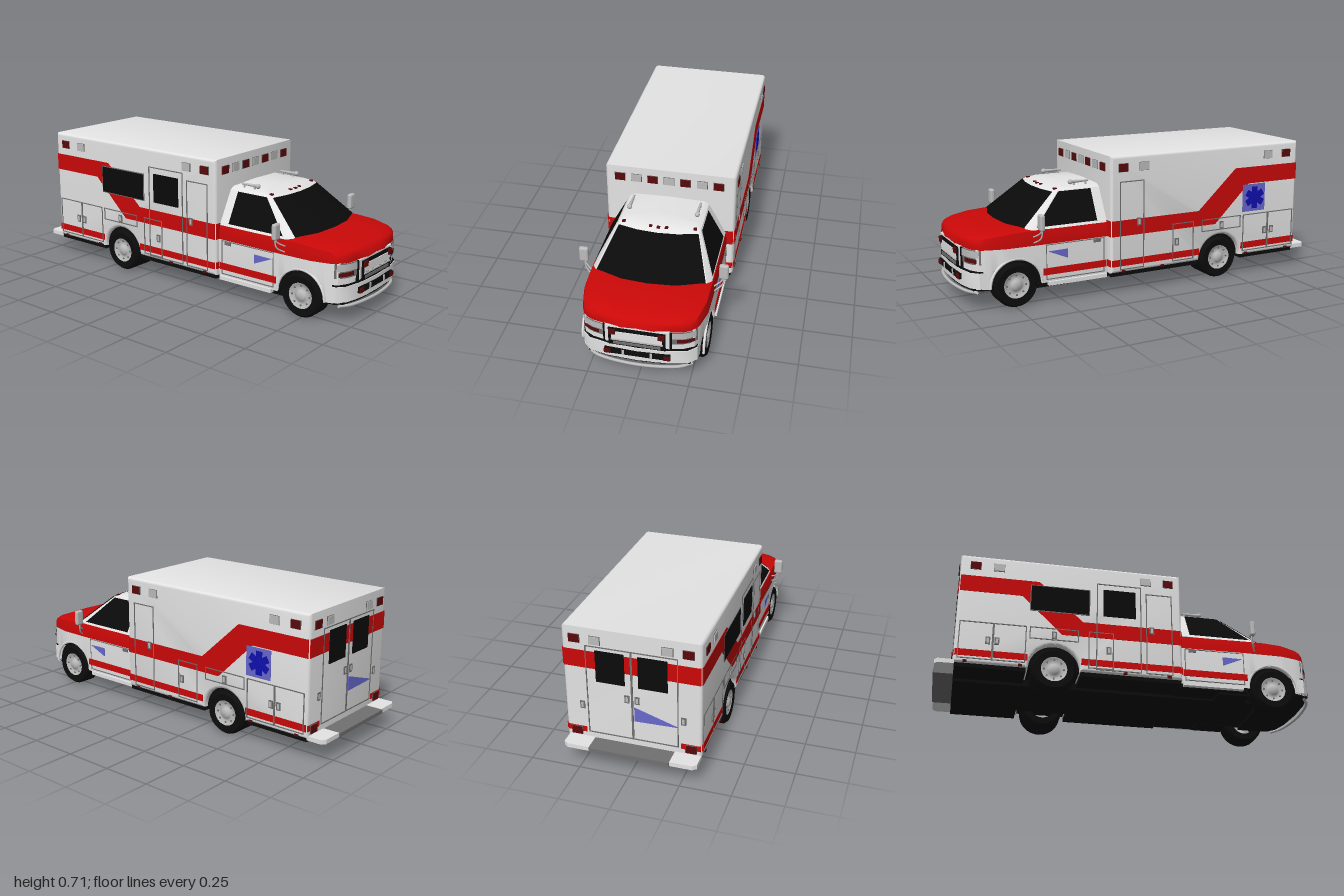
import * as THREE from 'three';
import { toCreasedNormals } from 'three/addons/utils/BufferGeometryUtils.js';
import { RoundedBoxGeometry } from 'three/addons/geometries/RoundedBoxGeometry.js';

const mat = (name, color) => new THREE.MeshStandardMaterial({ name, color, side: THREE.DoubleSide });
const M = {
  white: mat('white paint', 0xe4e4e4), red: mat('red paint', 0xca0808), lamp: mat('dark red lamp', 0x5a090b),
  glass: mat('black glass', 0x0a0a0a), black: mat('black rubber', 0x0c0c0c), silver: mat('silver metal', 0xbcbcbc),
  line: mat('grey seam', 0x707070), blue: mat('blue', 0x1010b0), pale: mat('pale blue', 0x6868cc),
};

// Piecewise linear lookup
function lookup(table, v) {
  if (v <= table[0][0]) return table[0][1];
  for (let i = 1; i < table.length; i++) {
    const [a, p] = table[i - 1], [b, q] = table[i];
    if (v <= b) return p + (q - p) * (v - a) / (b - a);
  }
  return table[table.length - 1][1];
}
const rect = (a0, a1, b0, b1) => [[a0, b0], [a1, b0], [a1, b1], [a0, b1]];
const toShape = (pts) => new THREE.Shape(pts.map(([a, b]) => new THREE.Vector2(a, b)));

export function createModel() {
  const root = new THREE.Group();
  root.name = 'ambulance';
  const add = (name, geo, m, x = 0, y = 0, z = 0, parent = root) => {
    const mesh = new THREE.Mesh(geo, m);
    mesh.name = name;
    mesh.position.set(x, y, z);
    parent.add(mesh);
    return mesh;
  };
  const box = (name, m, w, h, d, x, y, z, parent) => add(name, new THREE.BoxGeometry(w, h, d), m, x, y, z, parent);
  // Surface through rows of points
  function loft(name, m, rows, crease = 0.6) {
    const n = rows[0].length, idx = [];
    for (let i = 0; i + 1 < rows.length; i++) for (let j = 0; j + 1 < n; j++) {
      const a = i * n + j;
      idx.push(a, a + 1, a + n, a + 1, a + n + 1, a + n);
    }
    const g = new THREE.BufferGeometry();
    g.setAttribute('position', new THREE.Float32BufferAttribute(rows.flat(2), 3));
    g.setIndex(idx);
    return add(name, toCreasedNormals(g, crease), m);
  }
  // Plan outline (x, z) raised between two heights
  function slab(name, m, pts, y0, y1) {
    const g = new THREE.ExtrudeGeometry(toShape(pts), { depth: y1 - y0, bevelEnabled: false });
    g.rotateX(Math.PI / 2);
    return add(name, toCreasedNormals(g, 0.6), m, 0, y1, 0);
  }

  // ---------- Patient compartment ----------
  const body = new THREE.Group();
  body.name = 'patientCompartment';
  body.position.x = 0.005;
  root.add(body);
  const HX = 0.338, ZF = 0.25, ZB = -0.908, Y0 = 0.11, RZ = -0.41, FZ = 0.745, WY = 0.112, AR = 0.13;
  const profile = new THREE.Shape();
  profile.moveTo(ZB, Y0);
  profile.lineTo(RZ - AR, Y0);
  profile.absarc(RZ, WY, AR, Math.PI, 0, true);
  profile.lineTo(ZF, Y0);
  profile.lineTo(ZF, 0.715);
  profile.lineTo(ZB, 0.715);
  const shell = new THREE.ExtrudeGeometry(profile, {
    depth: 2 * HX - 0.032, bevelSize: 0.016, bevelThickness: 0.016, bevelOffset: -0.016, bevelSegments: 3, curveSegments: 20,
  });
  shell.translate(0, 0, -(HX - 0.016));
  shell.rotateY(-Math.PI / 2);
  add('boxShell', toCreasedNormals(shell, 0.6), M.white, 0, 0, 0, body);

  // Thin plates on a face: 1 is +x, -1 is -x, 'F' front, 'B' back
  function plate(name, m, pts, face, lift = 0.002, hole, X = HX, parent = body) {
    const s = toShape(pts);
    if (hole) s.holes.push(toShape(hole));
    const g = new THREE.ExtrudeGeometry(s, { depth: 0.004, bevelEnabled: false });
    g.translate(0, 0, -0.002);
    const mesh = add(name, g, m, 0, 0, 0, parent);
    if (face === 'F') mesh.position.z = ZF + lift - 0.002;
    else if (face === 'B') mesh.position.z = ZB - lift + 0.002;
    else { mesh.rotation.y = -Math.PI / 2; mesh.position.x = face * (X + lift - 0.002); }
    return mesh;
  }
  const seam = (name, face, a0, a1, b0, b1, t = 0.005) =>
    plate(name, M.line, rect(a0, a1, b0, b1), face, 0.003, rect(a0 + t, a1 - t, b0 + t, b1 - t));
  const handle = (face, a, b) => {
    plate('handle', M.line, rect(a - 0.012, a + 0.012, b - 0.02, b + 0.02), face, 0.005);
    plate('handleCentre', M.silver, rect(a - 0.006, a + 0.006, b - 0.013, b + 0.013), face, 0.007);
  };
  const lampBox = (m, face, a, b) => {
    plate('lampFrame', M.line, rect(a - 0.028, a + 0.028, b - 0.022, b + 0.022), face, 0.003);
    plate('lamp', m, rect(a - 0.026, a + 0.026, b - 0.02, b + 0.02), face, 0.007);
  };
  const zf = ZF - 0.006, zb = ZB + 0.006;
  for (const s of [1, -1]) {
    plate('sideStripe', M.red, [[zf, 0.303], [-0.375, 0.303], [-0.585, 0.505], [zb, 0.505], [zb, 0.595],
      [-0.5, 0.595], [-0.27, 0.385], [zf, 0.385]], s);
    plate('lowerStripeFront', M.red, rect(-0.275, zf, 0.145, 0.18), s);
    plate('lowerStripeRear', M.red, rect(zb, -0.545, 0.145, 0.18), s);
    for (const [z, m] of [[0.18, M.lamp], [0.06, M.silver], [-0.71, M.silver], [-0.83, M.lamp]]) lampBox(m, s, z, 0.655);
    seam('frontDoor', s, 0.06, 0.2, 0.125, 0.585);
    seam('locker', s, -0.24, -0.11, 0.13, 0.335);
    seam('wheelLocker', s, -0.54, -0.29, 0.268, 0.335);
    seam('rearLocker', s, -0.72, -0.555, 0.13, 0.335);
    seam('rearLocker', s, -0.89, -0.72, 0.13, 0.335);
    for (const [z, y] of [[0.09, 0.37], [-0.135, 0.235], [-0.415, 0.295], [-0.7, 0.235], [-0.745, 0.235]]) handle(s, z, y);
    for (const z of [0.18, -0.05, -0.58, -0.85]) box('markerLamp', M.lamp, 0.006, 0.012, 0.02, s * HX, 0.117, z, body);
    // Stripes carried round onto the front wall
    for (const [y0, y1] of [[0.303, 0.385], [0.145, 0.18]]) plate('frontStripe', M.red, rect(s * 0.25, s * 0.332, y0, y1), 'F');
    // Rear doors
    seam('rearDoor', 'B', s > 0 ? 0 : -0.225, s > 0 ? 0.225 : 0, 0.15, 0.625);
    plate('rearWindow', M.glass, rect(s * 0.033, s * 0.175, 0.44, 0.605), 'B', 0.005);
    plate('rearLowerStripe', M.red, rect(s * 0.235, s * 0.332, 0.145, 0.175), 'B', 0.001);
    handle('B', s * 0.025, 0.37);
    lampBox(M.lamp, 'B', s * 0.275, 0.655);
    lampBox(M.silver, 'B', s * 0.175, 0.655);
    lampBox(M.lamp, 'B', s * 0.285, 0.15);
    handle('B', s * 0.25, 0.3);
  }
  plate('rearStripe', M.red, rect(-0.332, 0.332, 0.505, 0.595), 'B');
  plate('rearFlash', M.pale, [[-0.01, 0.33], [-0.01, 0.255], [-0.225, 0.26]], 'B', 0.004);
  for (let i = -3; i <= 3; i++) lampBox(i % 2 ? M.lamp : M.silver, 'F', i * 0.0855 - 0.005, 0.654);
  // Windows and side door on the -x side
  seam('sideDoor', -1, -0.2, 0.035, 0.125, 0.62);
  seam('sideWindowFrame', -1, -0.545, -0.235, 0.425, 0.575, 0.006);
  plate('sideWindow', M.glass, rect(-0.54, -0.24, 0.43, 0.57), -1, 0.005);
  plate('doorWindow', M.glass, rect(-0.165, 0.005, 0.43, 0.585), -1, 0.005);
  // Six-armed blue emblem on the +x side
  plate('emblemPanel', M.pale, rect(-0.695, -0.55, 0.35, 0.5), 1, 0.003);
  for (let k = 0; k < 3; k++) {
    const c = Math.cos(k * Math.PI / 3), d = Math.sin(k * Math.PI / 3);
    const arm = rect(-0.018, 0.018, -0.06, 0.06).map(([a, b]) => [-0.627 + a * c - b * d, 0.425 + a * d + b * c]);
    plate('emblemArm', M.blue, arm, 1, 0.005 + k * 0.0005);
  }

  // ---------- Underbody, rear step and wheels ----------
  box('rearFloor', M.black, 0.65, 0.03, 0.35, 0.005, 0.105, -0.725);
  box('midFloor', M.black, 0.65, 0.03, 0.52, 0.005, 0.105, -0.015);
  box('chassis', M.black, 0.34, 0.06, 1.75, 0, 0.105, -0.02);
  box('cabFloor', M.black, 0.58, 0.03, 0.38, 0, 0.1, 0.42);
  box('frontAxle', M.black, 0.34, 0.05, 0.12, 0, 0.08, 0.76);
  box('noseFloor', M.black, 0.5, 0.012, 0.09, 0, 0.105, 0.905);
  for (const s of [1, -1]) slab('rearStep', M.white, [[0.33, -0.9], [0.33, -0.98], [0.31, -0.995], [0.2, -0.995], [0.2, -0.9]]
    .map(([x, z]) => [s * x, z]), 0.1, 0.122);
  box('stepTread', M.line, 0.4, 0.02, 0.1, 0, 0.11, -0.95);
  const tyre = (w) => new THREE.LatheGeometry([[0.066, -w / 2], [0.1, -w / 2], [0.112, -w / 2 + 0.015],
    [0.112, w / 2 - 0.015], [0.1, w / 2], [0.066, w / 2 - 0.004]].map(([a, b]) => new THREE.Vector2(a, b)), 32);
  const rimGeo = new THREE.LatheGeometry([[0, 0.004], [0.022, 0.004], [0.026, -0.008], [0.045, -0.012], [0.058, -0.003],
    [0.068, -0.001]].map(([a, b]) => new THREE.Vector2(a, b)), 32);
  for (const [z, outer, w, half] of [[FZ, 0.305, 0.11, 0.28], [RZ, 0.335, 0.165, 0.31]]) {
    const arch = new THREE.Shape();
    arch.absarc(0, 0, AR - 0.001, 0, Math.PI);
    const g = new THREE.ExtrudeGeometry(arch, { depth: 2 * half, bevelEnabled: false, curveSegments: 20 });
    g.translate(0, 0, -half);
    g.rotateY(Math.PI / 2);
    add('wheelWell', g, M.black, 0, WY, z);
    for (const s of [1, -1]) {
      const wheel = new THREE.Group();
      wheel.name = 'wheel';
      wheel.position.set(s * (outer - w / 2), WY, z);
      wheel.rotation.z = -s * Math.PI / 2;
      root.add(wheel);
      add('tyre', toCreasedNormals(tyre(w), 0.6), M.black, 0, 0, 0, wheel);
      add('rim', rimGeo, M.silver, 0, w / 2 - 0.003, 0, wheel);
      for (let k = 0; k < 8; k++) add('wheelHole', new THREE.CylinderGeometry(0.005, 0.005, 0.004, 8), M.line,
        0.05 * Math.cos(k * Math.PI / 4), w / 2 - 0.008, 0.05 * Math.sin(k * Math.PI / 4), wheel);
    }
  }

  // ---------- Cab ----------
  const plan = [[0.25, 0.303], [0.6, 0.308], [0.8, 0.304], [0.87, 0.288], [0.9, 0.28], [0.93, 0.265], [0.955, 0.22], [0.97, 0.15], [0.978, 0.08]];
  const front = (x) => lookup(plan.slice(2).reverse().map(([z, w]) => [w, z]), Math.abs(x));
  const stations = [0.25, 0.5, 0.6, 0.614];
  for (let k = 0; k <= 14; k++) stations.push(FZ - AR * Math.cos(k * Math.PI / 14));
  stations.push(0.876, 0.9, 0.93, 0.955, 0.97, 0.978);
  const lower = stations.map((z) => {
    const w = lookup(plan, z), d = Math.abs(z - FZ), b = d < AR ? WY + Math.sqrt(AR * AR - d * d) : 0.105;
    return [[-w * 0.985, b, z], [-w, Math.max(0.2, b), z], [-w, 0.305, z], [w, 0.305, z], [w, Math.max(0.2, b), z], [w * 0.985, b, z]];
  });
  lower.push(lower[lower.length - 1].map(([, y, z]) => [0, y, z]));
  loft('cabLowerBody', M.white, lower);
  // Bonnet and waistband
  const crown = [[0.25, 0.385], [0.65, 0.387], [0.75, 0.388], [0.89, 0.37], [0.955, 0.35], [0.972, 0.335], [0.982, 0.304]];
  loft('bonnet', M.red, [0.25, 0.6, 0.7, 0.8, 0.85, 0.89, 0.92, 0.94, 0.955, 0.965, 0.972, 0.982].map((z) => {
    const w = lookup(plan, z) + 0.002, h = lookup(crown, z), k = Math.max(0.303, h - 0.012);
    const half = [[w, 0.303], [w * 0.997, (k + 0.303) / 2], [w * 0.975, k], [w * 0.85, h], [w * 0.4, h + 0.002]];
    return [...half.map(([x, y]) => [-x, y, z]), [0, h + 0.004, z], ...half.reverse().map(([x, y]) => [x, y, z])];
  }), 0.9);
  // Greenhouse
  const ring = (half, y) => [...half.map(([x, z]) => [-x, y, z]), ...half.slice(0, -1).reverse().map(([x, z]) => [x, y, z])];
  const B = ring([[0.298, 0.25], [0.298, 0.655], [0.28, 0.695], [0.14, 0.742], [0, 0.757]], 0.375);
  const T = ring([[0.207, 0.25], [0.207, 0.48], [0.2, 0.492], [0.1, 0.515], [0, 0.522]], 0.543);
  const R = T.map(([x, , z]) => [x * 0.88, 0.556, 0.25 + (z - 0.25) * 0.82]);
  loft('cabGreenhouse', M.white, [B, T, R, R.map(([, , z]) => [0, 0.561, 0.25 + (z - 0.25) * 0.7])], 0.5);
  const mix = (p, q, t) => p.map((a, i) => a + (q[i] - a) * t);
  loft('windscreen', M.glass, [0.05, 0.95].map((v) => [2, 3, 4, 5, 6].map((i) => {
    const p = mix(B[i], T[i], v);
    return [p[0] * 0.985, p[1] + 0.004, p[2] + 0.004];
  })));
  for (const s of [1, -1]) {
    const a = s < 0 ? 0 : 8, b = s < 0 ? 1 : 7;
    loft('cabSideWindow', M.glass, [0.07, 0.97].map((v) => [0.13 + 0.09 * v, 0.975].map((u) => {
      const p = mix(mix(B[a], B[b], u), mix(T[a], T[b], u), v);
      return [p[0] + s * 0.004, p[1] + 0.002, p[2]];
    })));
    plate('cabLowerStripe', M.red, rect(0.26, 0.605, 0.145, 0.18), s, 0.003, undefined, 0.307, root);
    plate('cabFlash', M.pale, [[0.58, 0.265], [0.475, 0.267], [0.475, 0.22]], s, 0.004, undefined, 0.307, root);
    plate('cabDoorSeam', M.line, rect(0.27, 0.59, 0.12, 0.3), s, 0.0015, rect(0.274, 0.586, 0.124, 0.296), 0.307, root);
    plate('cabDoorHandle', M.line, rect(0.29, 0.33, 0.28, 0.295), s, 0.004, undefined, 0.307, root);
    box('runningBoard', M.white, 0.06, 0.02, 0.32, s * 0.285, 0.1, 0.42);
    box('stepBracket', M.black, 0.1, 0.02, 0.17, s * 0.22, 0.083, 0.54);
    // Wheel arch lip
    const lip = add('archLip', new THREE.TorusGeometry(AR + 0.004, 0.007, 6, 24, Math.PI), M.white, s * 0.3, WY, FZ);
    lip.rotation.y = Math.PI / 2;
    // Headlamps following the nose curve
    const strip = (name, m, x0, x1, y0, y1, off) => loft(name, m, [0, 0.25, 0.5, 0.75, 1].map((t) => {
      const x = x0 + (x1 - x0) * t, z = front(x) + off;
      return [[s * (x + off / 2), y0, z], [s * (x + off / 2), y1, z]];
    }));
    strip('headlampSurround', M.line, 0.15, 0.275, 0.23, 0.303, 0.004);
    strip('headlamp', M.silver, 0.155, 0.27, 0.264, 0.299, 0.006);
    strip('turnLamp', M.lamp, 0.185, 0.266, 0.238, 0.259, 0.006);
    box('grilleLamp', M.lamp, 0.032, 0.028, 0.008, s * 0.118, 0.28, 0.994);
    box('bumperLamp', M.lamp, 0.032, 0.024, 0.008, s * 0.145, 0.155, 0.993);
    // Door mirrors
    add('mirror', new RoundedBoxGeometry(0.047, 0.082, 0.026, 3, 0.01), M.silver, s * 0.35, 0.425, 0.63);
    for (const y of [0.4, 0.37]) add('mirrorArm', new THREE.TubeGeometry(new THREE.CatmullRomCurve3([
      [0.35, y + 0.03, 0.625], [0.345, y - 0.025, 0.63], [0.295, y - 0.06, 0.66]].map(([x, h, z]) => new THREE.Vector3(s * x, h, z))),
      10, 0.004, 6), M.silver);
    // Roof horns
    add('hornBell', new THREE.SphereGeometry(0.013, 12, 8), M.silver, s * 0.173, 0.574, 0.395);
    const horn = add('hornTube', new THREE.CylinderGeometry(0.009, 0.005, 0.1, 10), M.silver, s * 0.173, 0.574, 0.345);
    horn.rotation.x = Math.PI / 2;
    for (const z of [0.31, 0.375]) box('hornFoot', M.silver, 0.008, 0.03, 0.008, s * 0.173, 0.558, z);
  }
  for (const x of [-0.18, -0.04, 0, 0.04, 0.18]) box('roofMarker', M.lamp, 0.016, 0.012, 0.016, x, 0.546, 0.505 - Math.abs(x) * 0.12);

  // ---------- Grille and bumper ----------
  const nose = [[-0.283, 0.88], [-0.278, 0.925], [-0.24, 0.96], [-0.15, 0.98], [0, 0.988]];
  const bumper = [...nose, ...nose.slice(0, -1).reverse().map(([x, z]) => [-x, z])];
  slab('bumper', M.white, bumper, 0.112, 0.19);
  slab('bumperTrim', M.black, bumper.map(([x, z]) => [x * 0.99, z - 0.003]), 0.19, 0.198);
  slab('bumperSkirt', M.black, bumper.map(([x, z]) => [x * 0.97, z - 0.01]), 0.098, 0.112);
  box('bumperIntake', M.black, 0.32, 0.03, 0.02, 0, 0.155, 0.982);
  for (const s of [1, -1]) box('bumperPost', M.silver, 0.012, 0.03, 0.006, s * 0.068, 0.155, 0.993);
  box('grilleSurround', M.black, 0.33, 0.108, 0.03, 0, 0.249, 0.963);
  box('grilleFrame', M.white, 0.31, 0.1, 0.03, 0, 0.256, 0.966);
  box('grilleOpening', M.black, 0.275, 0.1, 0.03, 0, 0.246, 0.973);
  box('grillePanel', M.white, 0.245, 0.042, 0.006, 0, 0.258, 0.989);
  box('grilleBar', M.silver, 0.25, 0.007, 0.006, 0, 0.23, 0.99);
  box('grilleLowerBar', M.line, 0.23, 0.014, 0.006, 0, 0.211, 0.989);
  add('pushBar', new THREE.TubeGeometry(new THREE.CatmullRomCurve3([[-0.255, 0.93], [-0.2, 0.965], [0, 0.992], [0.2, 0.965], [0.255, 0.93]]
    .map(([x, z]) => new THREE.Vector3(x, 0.089, z))), 24, 0.008, 8), M.silver);
  return root;
}
